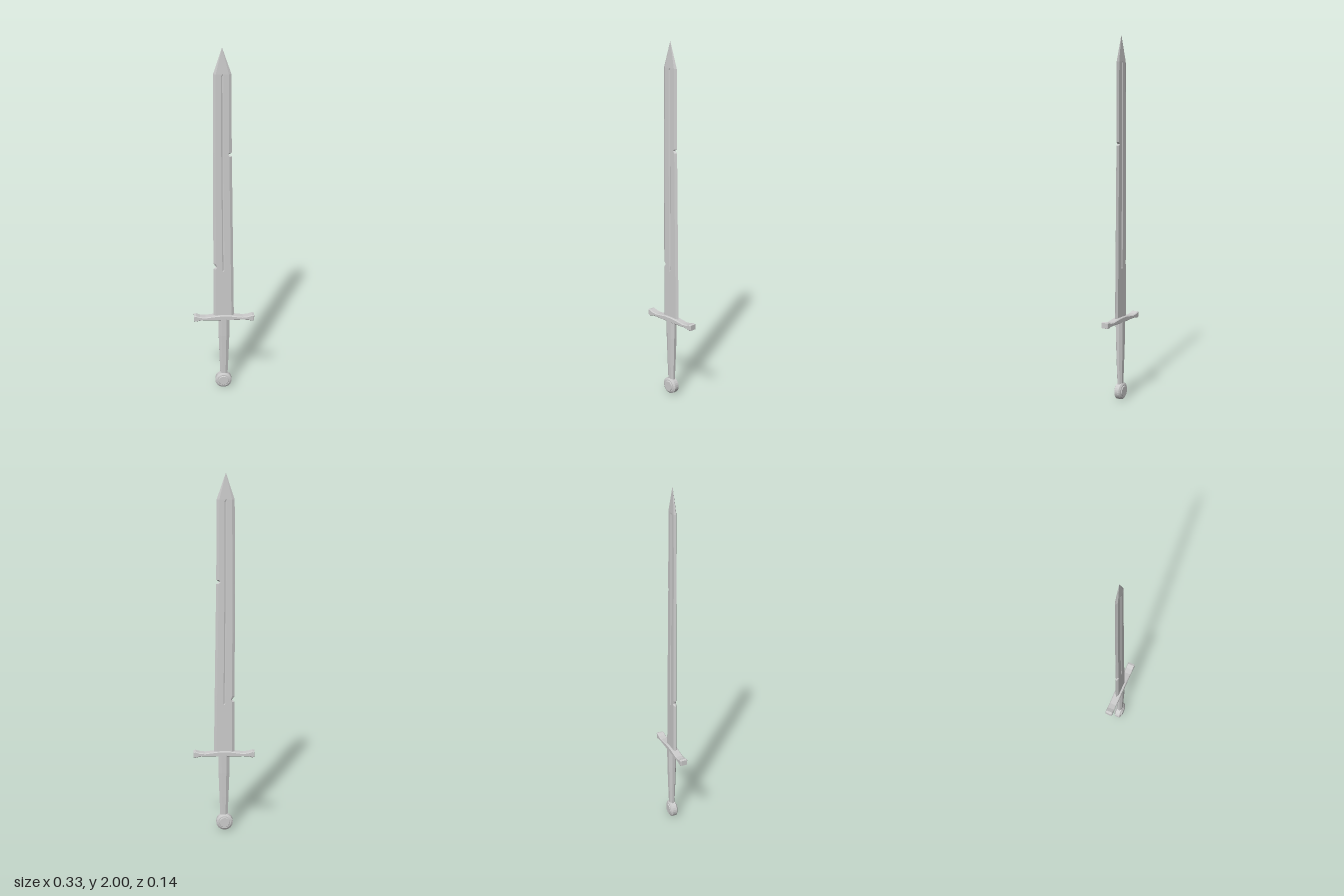
import * as THREE from 'three';

const material = new THREE.MeshStandardMaterial({ color: 0xcccccc, flatShading: true });
const smooth = new THREE.MeshStandardMaterial({ color: 0xcccccc });

function addPart(parent, name, geometry, mat = material) {
  const mesh = new THREE.Mesh(geometry, mat);
  mesh.name = name;
  parent.add(mesh);
  return mesh;
}

// Skins a stack of equal-length rings, each running from +x towards +z.
function loft(rings) {
  const pos = [];
  for (let i = 0; i < rings.length - 1; i++) {
    const n = rings[i].length;
    for (let j = 0; j < n; j++) {
      const a = rings[i][j], b = rings[i][(j + 1) % n];
      const c = rings[i + 1][j], d = rings[i + 1][(j + 1) % n];
      pos.push(...a, ...c, ...b, ...b, ...c, ...d);
    }
  }
  const geo = new THREE.BufferGeometry();
  geo.setAttribute('position', new THREE.Float32BufferAttribute(pos, 3));
  geo.computeVertexNormals();
  return geo;
}

// Blade section: bevelled edges, flat faces and a narrow groove; nicks cut into either edge.
function bladeRing(y, groove, nickLeft = 0, nickRight = 0) {
  const k = (y - 0.45) / 1.41;
  const centre = -0.001 - 0.008 * Math.min(1, k * 1.4);
  const half = 0.057 - 0.0095 * k, t = 0.0095 - 0.002 * k;
  const flat = half - 0.014, g = 0.006;
  const side = (s, nick) => [
    [s * (half - nick), 0], [s * (flat - nick * 0.5), t], [s * g, t],
  ];
  const front = [...side(1, nickLeft), [0, t - groove], ...side(-1, nickRight).reverse()];
  const back = front.slice(1, -1).reverse().map(([x, z]) => [x, -z]);
  return [...front, ...back].map(([x, z]) => [x + centre, y, z]);
}

function bladeGeometry() {
  const d = 0.004;
  const rings = [
    bladeRing(0.45, 0), bladeRing(0.735, 0), bladeRing(0.745, d),
    bladeRing(0.752, d), bladeRing(0.764, d, 0, 0.014), bladeRing(0.785, d),
    bladeRing(1.41, d), bladeRing(1.421, d, 0.019, 0), bladeRing(1.432, d),
    bladeRing(1.85, d), bladeRing(1.86, 0),
  ];
  rings.push(rings[0].map(() => [-0.01, 2, 0])); // point
  return loft(rings);
}

// Crossguard: slim arms flaring at the ends, with a raised middle.
function guardGeometry() {
  const top = [[0, 0.468], [0.035, 0.467], [0.105, 0.458], [0.135, 0.461], [0.158, 0.469], [0.17, 0.466]];
  const bottom = [[0.17, 0.436], [0.158, 0.432], [0.135, 0.438], [0.105, 0.44], [0.035, 0.438], [0, 0.438]];
  const right = [...top, ...bottom];
  const left = right.slice(1, -1).reverse().map(([x, y]) => [-x, y]);
  const shape = new THREE.Shape([...right, ...left].map(([x, y]) => new THREE.Vector2(x, y)));
  return new THREE.ExtrudeGeometry(shape, {
    depth: 0.034, bevelEnabled: true, bevelSegments: 1,
    bevelThickness: 0.004, bevelSize: 0.004, bevelOffset: -0.004,
  }).translate(0, 0, -0.017);
}

// Grip: eight-sided oval section narrowing to the pommel.
function gripGeometry() {
  const ring = ([y, a, b]) => Array.from({ length: 8 }, (_, i) => {
    const angle = ((i + 0.5) / 8) * Math.PI * 2;
    return [a * 1.06 * Math.cos(angle), y, b * 1.06 * Math.sin(angle)];
  });
  return loft([[0.08, 0.021, 0.014], [0.2, 0.026, 0.018], [0.34, 0.031, 0.022], [0.445, 0.032, 0.023]].map(ring));
}

// Pommel: a disc with chamfered faces and a raised round boss on each side.
function pommelGeometry() {
  const half = [[0, 0.024], [0.027, 0.024], [0.03, 0.02], [0.036, 0.02], [0.047, 0.013]];
  const profile = [...half.map(([r, z]) => [r, -z]), ...half.slice().reverse()];
  return new THREE.LatheGeometry(profile.map(([r, z]) => new THREE.Vector2(r, z)), 24)
    .rotateX(Math.PI / 2).translate(-0.003, 0.047, 0);
}

export function createModel() {
  const model = new THREE.Group();
  model.name = 'sword';
  const sword = new THREE.Group();
  sword.name = 'turnedSword';
  sword.rotation.y = -0.315;
  model.add(sword);

  addPart(sword, 'blade', bladeGeometry());
  addPart(sword, 'crossguard', guardGeometry());
  addPart(sword, 'grip', gripGeometry());
  addPart(sword, 'pommel', pommelGeometry());
  return model;
}
